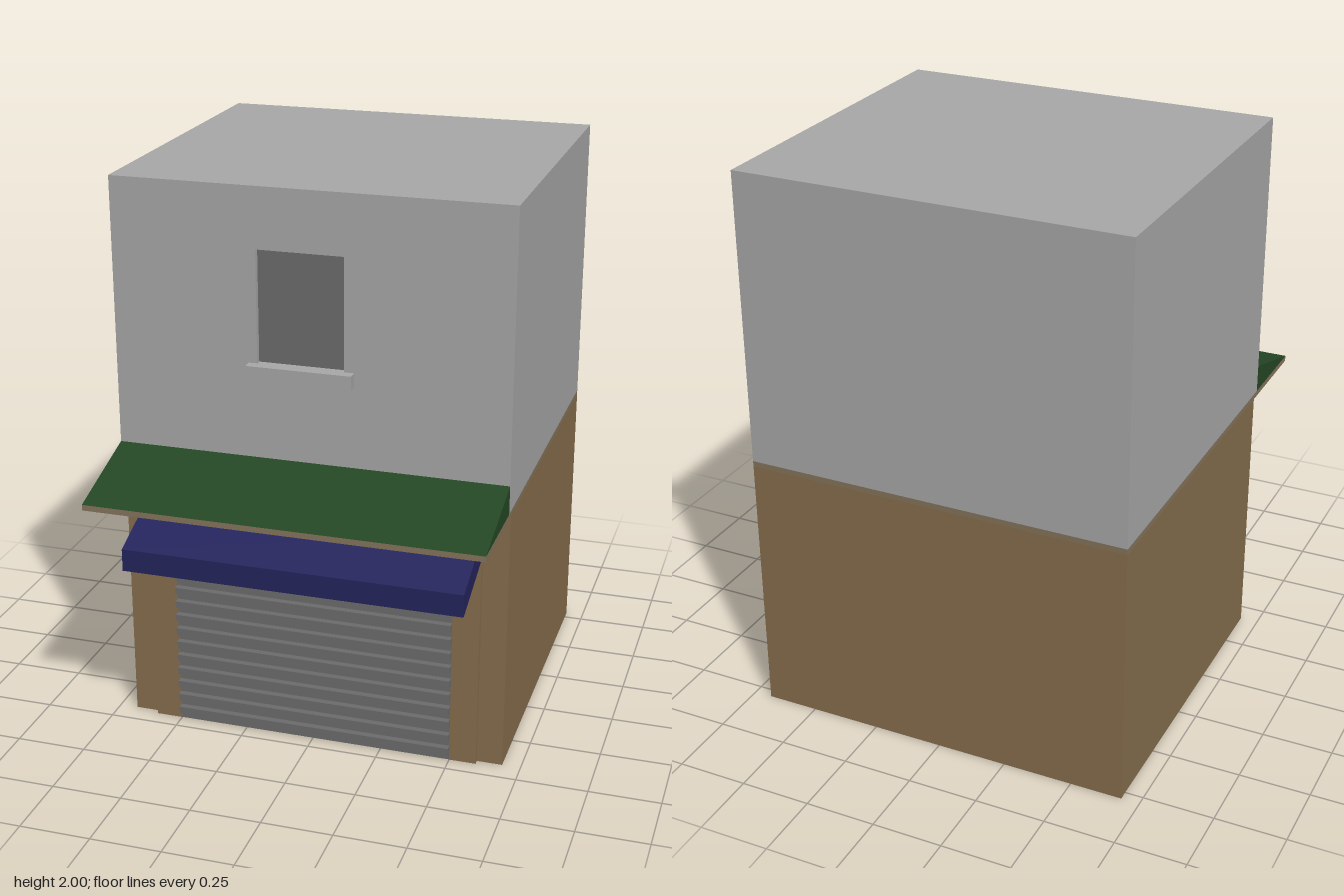
import * as THREE from 'three';

const material = (name, color, side = THREE.FrontSide) => {
  const m = new THREE.MeshStandardMaterial({ color, side });
  m.name = name;
  return m;
};

export function createModel() {
  const group = new THREE.Group();
  const plaster = material('grey plaster', 0xa8a8a8);
  const brown = material('brown wall', 0x866e4d);
  const trim = material('canopy board', 0x84745b);
  const green = material('green roof', 0x254725);
  const blue = material('blue awning', 0x24245c, THREE.DoubleSide);
  const metal = material('dark grey metal', 0x6c6c6c);

  const add = (name, geometry, mat) => {
    const mesh = new THREE.Mesh(geometry, mat);
    mesh.name = name;
    group.add(mesh);
    return mesh;
  };
  // Box given by its limits on each axis
  const box = (name, mat, [x0, x1], [y0, y1], [z0, z1]) => {
    const g = new THREE.BoxGeometry(x1 - x0, y1 - y0, z1 - z0);
    g.translate((x0 + x1) / 2, (y0 + y1) / 2, (z0 + z1) / 2);
    return add(name, g, mat);
  };
  // Side profile of [z, y] points, extruded across the width around x
  const across = (name, mat, points, width, x = 0) => {
    const shape = new THREE.Shape(points.map(p => new THREE.Vector2(...p)));
    const g = new THREE.ExtrudeGeometry(shape, { depth: width, bevelEnabled: false });
    g.translate(0, 0, -width / 2).rotateY(-Math.PI / 2).translate(x, 0, 0);
    return add(name, g, mat);
  };

  const W = 0.685, BACK = -0.785;

  // Ground floor and door surround
  box('groundFloor', brown, [-W, W], [0, 0.945], [BACK, 0.42]);
  for (const s of [-1, 1]) {
    box('doorJamb', brown, s < 0 ? [-0.595, -0.5] : [0.5, 0.595], [0, 0.86], [0.42, 0.44]);
  }
  box('doorLintel', brown, [-0.5, 0.5], [0.7, 0.86], [0.42, 0.44]);

  // Roller shutter
  box('shutterPanel', metal, [-0.5, 0.5], [0, 0.7], [0.42, 0.439]);
  for (let i = 0; i < 13; i++) {
    const y = 0.042 + i * 0.0532;
    box('shutterSlat', metal, [-0.5, 0.5], [y - 0.013, y + 0.013], [0.439, 0.462]);
  }

  // Floor board carrying the sloped canopy
  box('floorBoard', trim, [-W, W], [0.945, 0.965], [BACK, 0.785]);
  across('canopyRoof', green, [[0.45, 0.965], [0.785, 0.965], [0.45, 1.065]], 2 * W);

  // Upper floor with a recessed window in its front wall
  box('upperFloor', plaster, [-W, W], [0.965, 2], [BACK, 0.425]);
  const wall = new THREE.Shape([[-W, 0.965], [W, 0.965], [W, 2], [-W, 2]].map(p => new THREE.Vector2(...p)));
  wall.holes.push(new THREE.Path([[-0.18, 1.4], [-0.18, 1.79], [0.12, 1.79], [0.12, 1.4]].map(p => new THREE.Vector2(...p))));
  const wallGeometry = new THREE.ExtrudeGeometry(wall, { depth: 0.025, bevelEnabled: false });
  add('frontWall', wallGeometry.translate(0, 0, 0.425), plaster);
  box('windowPane', metal, [-0.18, 0.12], [1.4, 1.79], [0.424, 0.43]);
  box('windowSill', plaster, [-0.21, 0.155], [1.35, 1.4], [0.445, 0.485]);

  // Awning, open underneath: sloped top with front valance, and two side flaps
  across('awningTop', blue, [
    [0.42, 0.872], [0.42, 0.862], [0.677, 0.763], [0.677, 0.695], [0.685, 0.69], [0.685, 0.77],
  ], 1.19);
  for (const s of [-1, 1]) {
    across('awningSide', blue, [[0.42, 0.79], [0.684, 0.69], [0.684, 0.769], [0.42, 0.871]], 0.008, s * 0.591);
  }
  return group;
}
